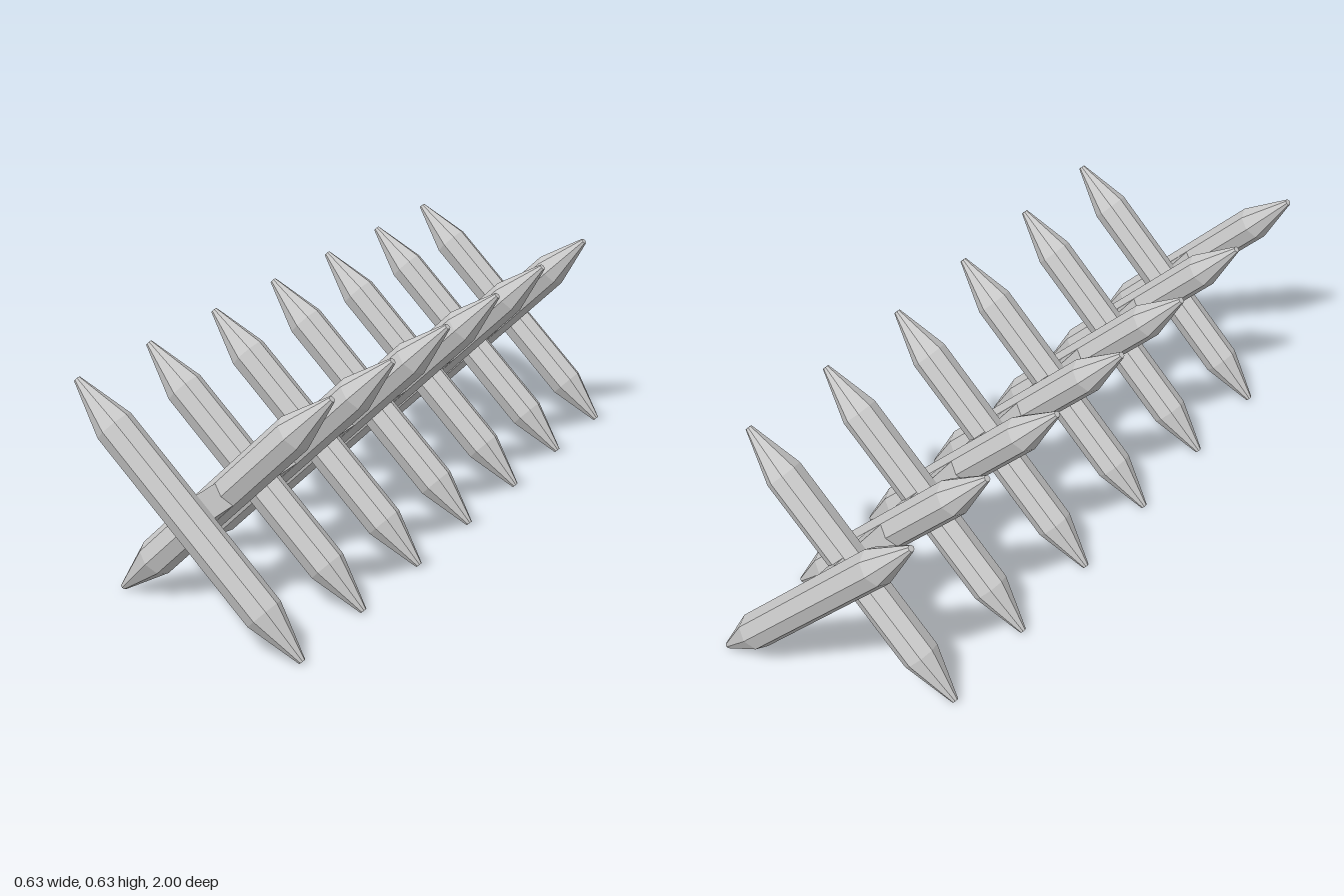
import * as THREE from 'three';

const STAKES = 13, SPACING = 0.158, RADIUS = 0.051, CENTER_Y = 0.316;

export function createModel() {
  const model = new THREE.Group();
  model.name = 'spikedBarricade';
  const material = new THREE.MeshStandardMaterial({ color: 0xcccccc, flatShading: true });

  // Octagonal stake, sharpened to a small blunt tip at both ends
  const profile = [
    [0, -0.438], [0.009, -0.438], [RADIUS, -0.291],
    [RADIUS, 0.291], [0.009, 0.438], [0, 0.438],
  ].map(([r, y]) => new THREE.Vector2(r, y));
  const stakeGeometry = new THREE.LatheGeometry(profile, 8);

  // Stakes lean alternately left and right along the bar
  for (let i = 0; i < STAKES; i++) {
    const stake = new THREE.Mesh(stakeGeometry, material);
    stake.name = `stake${i + 1}`;
    stake.position.set(0, CENTER_Y, (6 - i) * SPACING);
    stake.rotation.z = (i % 2 === 0 ? 1 : -1) * Math.PI / 4;
    model.add(stake);
  }

  // Square bar set on edge, running through all the stakes
  const side = 0.1 * Math.SQRT1_2;
  const bar = new THREE.Mesh(new THREE.BoxGeometry(side, side, 12 * SPACING), material);
  bar.name = 'centralBar';
  bar.position.y = CENTER_Y;
  bar.rotation.z = Math.PI / 4;
  model.add(bar);

  return model;
}
